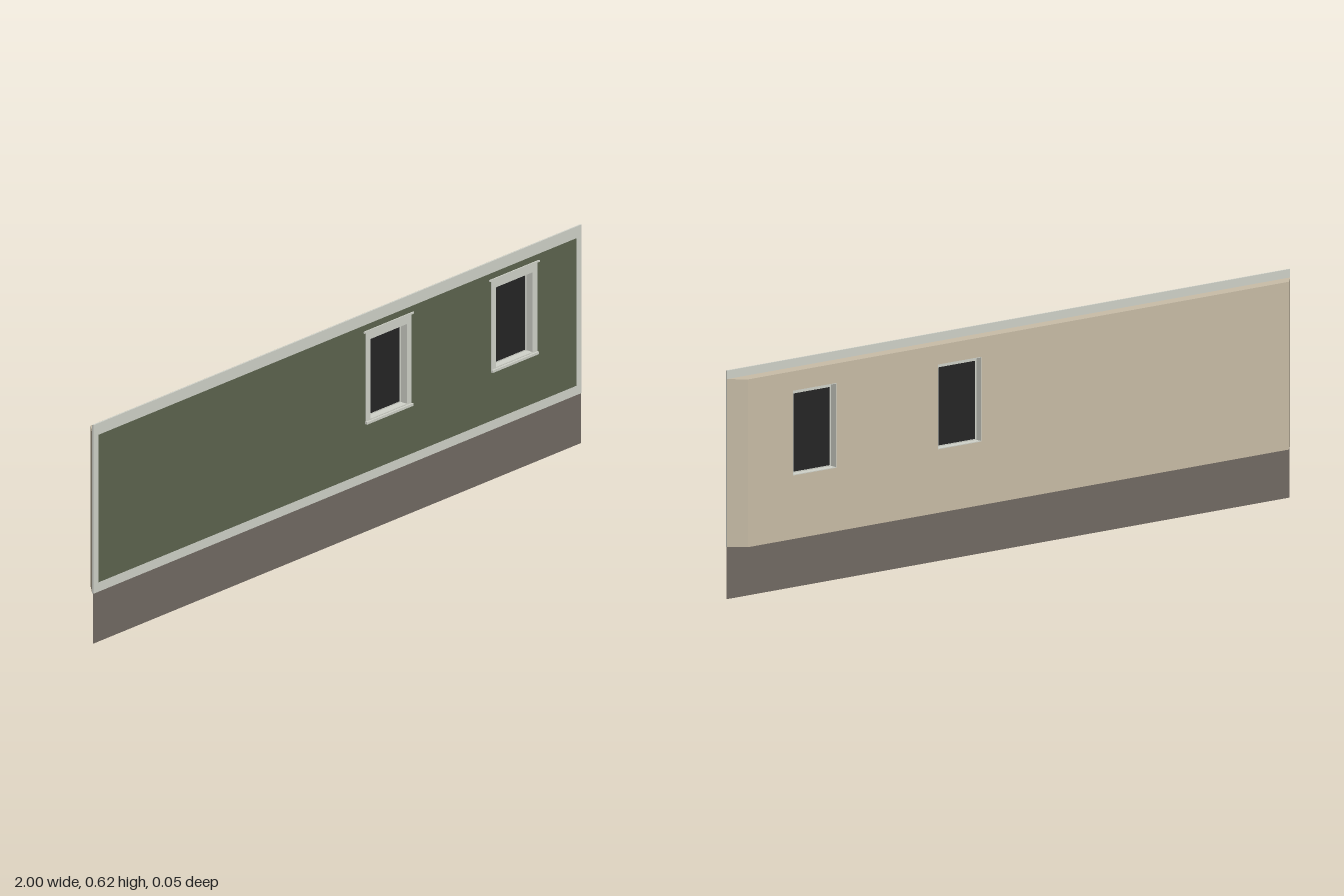
import * as THREE from 'three';

const mat = (name, color, side = THREE.FrontSide) => {
  const m = new THREE.MeshStandardMaterial({ color, side });
  m.name = name;
  return m;
};

const WINDOWS = [0.208, 0.723]; // window centre lines
const HOLE = { half: 0.077, y0: 0.316, y1: 0.547 };

function rect(target, x0, x1, y0, y1) {
  target.moveTo(x0, y0);
  target.lineTo(x1, y0);
  target.lineTo(x1, y1);
  target.lineTo(x0, y1);
  target.closePath();
  return target;
}

// Rectangular plate with rectangular holes, from z0 to z1
function plate(outer, holes, z0, z1) {
  const shape = rect(new THREE.Shape(), ...outer);
  holes.forEach((h) => shape.holes.push(rect(new THREE.Path(), ...h)));
  const g = new THREE.ExtrudeGeometry(shape, { depth: z1 - z0, bevelEnabled: false });
  return g.translate(0, 0, z0);
}

export function createModel() {
  const plaster = mat('interior plaster', 0xcabea8);
  const trim = mat('pale trim', 0xd2d4cb);
  const green = mat('green siding', 0x5d654f);
  const stone = mat('foundation stone', 0x736b64, THREE.DoubleSide);
  const glass = mat('dark glass', 0x252525);

  const model = new THREE.Group();
  model.name = 'wallSection';
  const add = (parent, name, geometry, material) => {
    const mesh = new THREE.Mesh(geometry, material);
    mesh.name = name;
    parent.add(mesh);
    return mesh;
  };
  const openings = WINDOWS.map((x) => [x - HOLE.half, x + HOLE.half, HOLE.y0, HOLE.y1]);

  // Wall core, its ends mitred toward the back
  const core = plate([-1, 1, 0.143, 0.6], openings, -0.025, 0.015);
  const p = core.attributes.position;
  for (let i = 0; i < p.count; i++) {
    if (Math.abs(p.getX(i)) > 0.99 && p.getZ(i) < -0.02) p.setX(i, Math.sign(p.getX(i)) * 0.96);
  }
  core.computeVertexNormals();
  add(model, 'wallCore', core, plaster);

  // Outer board, seen as a pale border around the siding
  add(model, 'trimBoard', plate([-1, 1, 0.143, 0.623], openings, 0.015, 0.0195), trim);
  add(model, 'siding', plate([-0.98, 0.98, 0.17, 0.59], openings, 0.0195, 0.02), green);

  // Foundation is a single sheet
  const base = new THREE.PlaneGeometry(2, 0.143).translate(0, 0.0715, 0.0175);
  add(model, 'foundation', base, stone);

  WINDOWS.forEach((x) => {
    const win = new THREE.Group();
    win.name = 'window';
    win.position.x = x;
    model.add(win);
    const { half, y0, y1 } = HOLE;
    const box = (name, w, ya, yb, za, zb, m) =>
      add(win, name, new THREE.BoxGeometry(w, yb - ya, zb - za).translate(0, (ya + yb) / 2, (za + zb) / 2), m);

    // Casing around the opening, and the lining of the reveal
    add(win, 'casing', plate([-0.094, 0.094, 0.31, 0.57], [[-half, half, y0, y1]], 0.0195, 0.0215), trim);
    const t = 0.002;
    add(win, 'lining', plate([-half, half, y0, y1], [[-half + t, half - t, y0 + t, y1 - t]], -0.0248, 0.021), trim);

    // Sash and glass
    add(win, 'sash', plate([-half + t, half - t, y0 + t, y1 - t], [[-0.07, 0.07, 0.321, 0.534]], -0.006, 0.0), trim);
    box('glass', 0.14, 0.321, 0.534, -0.0055, -0.0005, glass);

    // Head cap and sill
    box('headCap', 0.204, 0.568, 0.573, 0.0195, 0.0235, trim);
    box('sill', 0.19, 0.308, 0.315, 0.0195, 0.027, trim);
  });

  return model;
}
